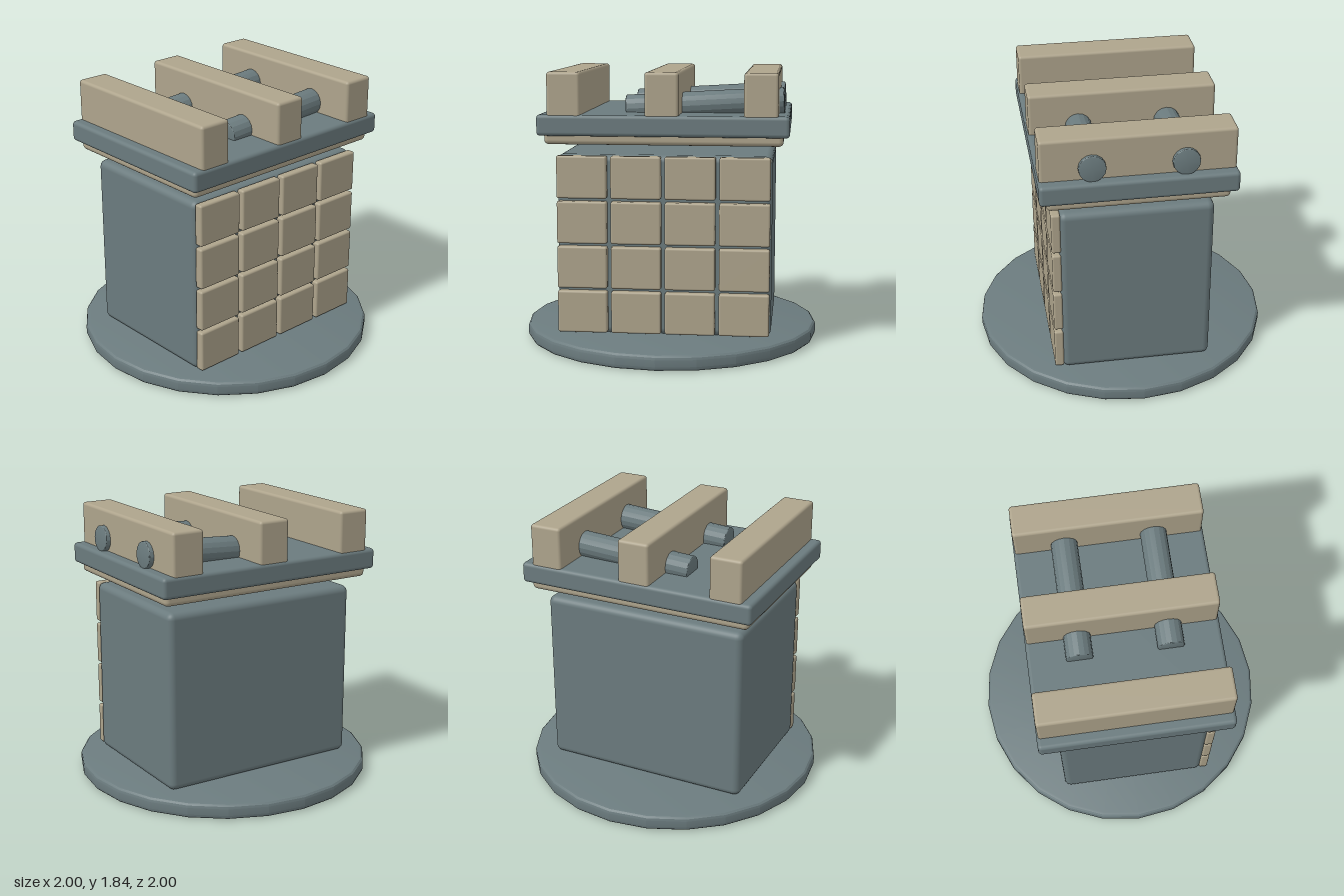
import * as THREE from 'three';
import { RoundedBoxGeometry } from 'three/addons/geometries/RoundedBoxGeometry.js';
import { toCreasedNormals } from 'three/addons/utils/BufferGeometryUtils.js';

const slate = new THREE.MeshStandardMaterial({ name: 'slate', color: 0x6b7b7e });
const sand = new THREE.MeshStandardMaterial({ name: 'sand', color: 0xaea48c });

// Solid of revolution with rounded rims, standing on y = 0
function roundedDisc(radius, height, bevel, sides) {
  const points = [new THREE.Vector2(0, 0)];
  for (let i = 0; i <= 3; i++) {
    const a = (i / 3) * Math.PI / 2;
    points.push(new THREE.Vector2(radius - bevel + bevel * Math.sin(a), bevel - bevel * Math.cos(a)));
  }
  for (let i = 0; i <= 3; i++) {
    const a = (i / 3) * Math.PI / 2;
    points.push(new THREE.Vector2(radius - bevel + bevel * Math.cos(a), height - bevel + bevel * Math.sin(a)));
  }
  points.push(new THREE.Vector2(0, height));
  return toCreasedNormals(new THREE.LatheGeometry(points, sides), 0.35);
}

export function createModel() {
  const model = new THREE.Group();
  model.name = 'tiledStove';

  const add = (name, geometry, material, x, y, z) => {
    const mesh = new THREE.Mesh(geometry, material);
    mesh.name = name;
    mesh.position.set(x, y, z);
    model.add(mesh);
    return mesh;
  };
  const box = (name, w, h, d, r, material, x, y, z) =>
    add(name, new RoundedBoxGeometry(w, h, d, 3, r), material, x, y, z);

  // Round base and main block
  add('base', roundedDisc(1, 0.105, 0.03, 24), slate, 0, 0, 0);
  box('body', 1.41, 1.195, 1.0, 0.045, slate, 0, 0.7, 0);

  // Front tiles, four by four
  for (let row = 0; row < 4; row++) {
    for (let col = 0; col < 4; col++) {
      box('frontTile', 0.33, 0.28, 0.06, 0.014, sand,
        (col - 1.5) * 0.355 - 0.003, 0.257 + row * 0.299, 0.52);
    }
  }

  // Floating lid: trim plate under a slab
  box('lidTrim', 1.545, 0.13, 1.16, 0.03, sand, 0, 1.435, 0);
  box('lidSlab', 1.625, 0.137, 1.255, 0.025, slate, 0, 1.498, 0);

  // Cross beams on the lid
  for (const x of [-0.635, -0.003, 0.63]) {
    box('crossBeam', 0.218, 0.3, 1.235, 0.02, sand, x, 1.69, 0);
  }

  // Slightly tilted rods running through the beams
  const rodGeometry = roundedDisc(0.087, 1.04, 0.008, 16);
  rodGeometry.translate(0, -0.52, 0);
  for (const z of [-0.293, 0.293]) {
    const rod = add('rod', rodGeometry, slate, 0.253, 1.618, z);
    rod.rotation.z = -Math.PI / 2 + 0.057;
  }

  return model;
}
